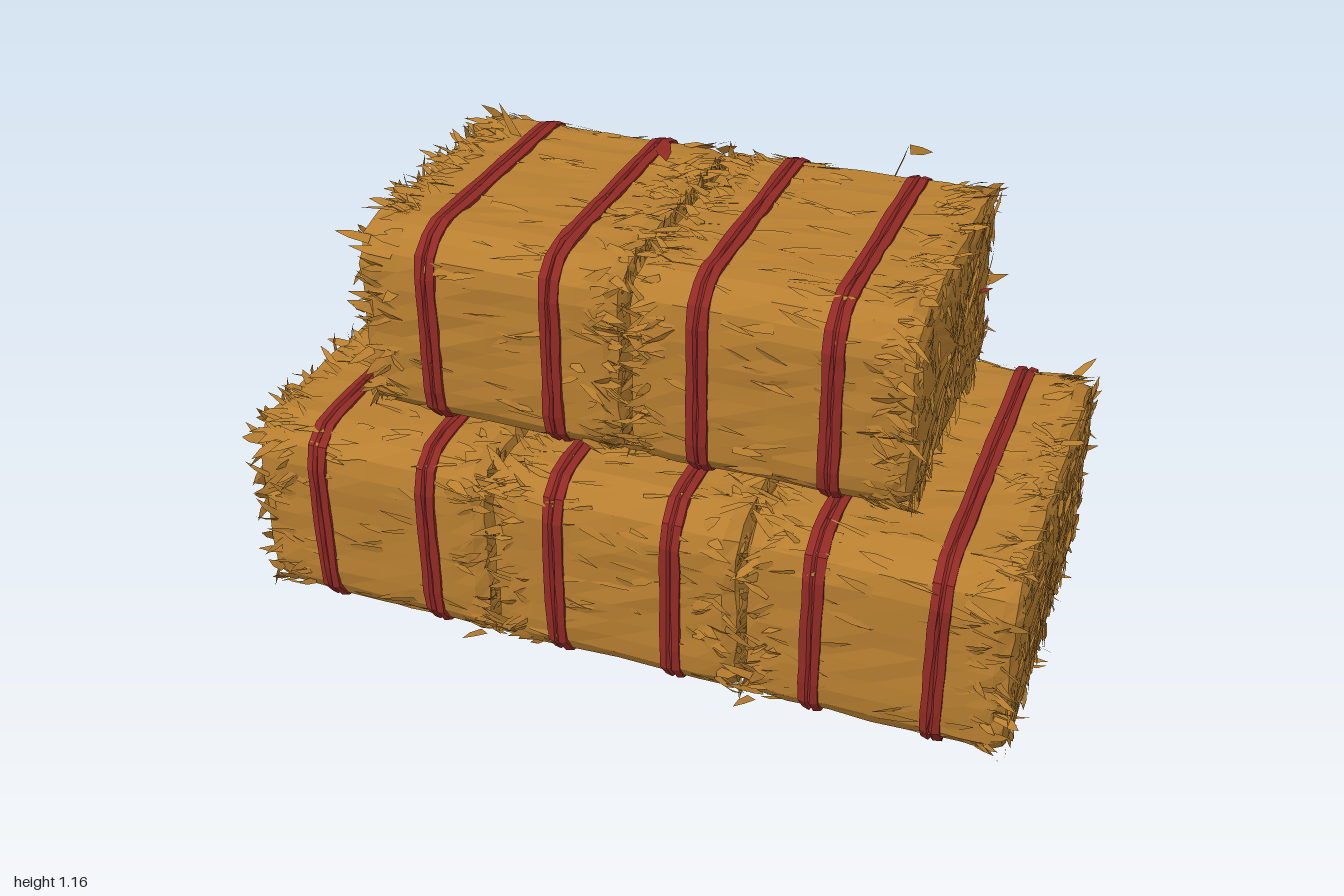
import * as THREE from 'three';

const hay = new THREE.MeshStandardMaterial({ color: 0xb87f30, flatShading: true, side: THREE.DoubleSide });
hay.name = 'hay';
const red = new THREE.MeshStandardMaterial({ color: 0x932a25, flatShading: true, side: THREE.DoubleSide });
red.name = 'redStrap';

// small seeded random numbers
let seed = 7;
const rnd = () => {
  seed = (seed * 1664525 + 1013904223) >>> 0;
  return seed / 4294967296;
};
const range = (a, b) => a + (b - a) * rnd();
const sign = () => (rnd() < 0.5 ? -1 : 1);
const V = (x, y, z) => new THREE.Vector3(x, y, z);

// rounded-rectangle outline of a bale, in (z, y)
function outline(hz, hy, r) {
  const p = new THREE.Path(), a = hz - r, b = hy - r, q = Math.PI / 2;
  [[a, b], [-a, b], [-a, -b], [a, -b]].forEach(([z, y], i) => p.absarc(z, y, r, i * q, (i + 1) * q, false));
  p.closePath();
  return p;
}

// point and outward normal at fraction u of the outline
function onOutline(path, u) {
  const p = path.getPoint(u), t = path.getTangent(u);
  return { z: p.x, y: p.y, nz: t.y, ny: -t.x };
}

// skin over stations [x, inset, scale] of one outline
function loft(path, stations, n, jitter, jitterX = jitter) {
  const ring = Array.from({ length: n }, (_, j) => onOutline(path, j / n));
  const pos = [], idx = [];
  for (const [x, inset, s = 1] of stations) {
    for (const p of ring) {
      const d = range(-jitter, jitter) - inset;
      pos.push(x + (s > 0 ? range(-jitterX, jitterX) : 0), p.y * s + (s > 0 ? p.ny * d : 0), p.z * s + (s > 0 ? p.nz * d : 0));
    }
  }
  for (let i = 0; i < stations.length - 1; i++) {
    for (let j = 0; j < n; j++) {
      const k = (j + 1) % n, a = i * n + j, b = a + n, c = (i + 1) * n + k, d = i * n + k;
      idx.push(a, b, c, a, c, d);
    }
  }
  const g = new THREE.BufferGeometry();
  g.setAttribute('position', new THREE.Float32BufferAttribute(pos, 3));
  g.setIndex(idx);
  g.computeVertexNormals();
  return g;
}

// one bent, pointed straw
function blade(out, base, dir, normal, len, w, lift, tilt = 0) {
  dir.normalize();
  const side = dir.clone().cross(normal).normalize().applyAxisAngle(dir, tilt).multiplyScalar(w / 2);
  const mid = base.clone().addScaledVector(dir, len * 0.55).addScaledVector(normal, lift * 0.75);
  const tip = base.clone().addScaledVector(dir, len).addScaledVector(normal, lift);
  const a = base.clone().sub(side), b = base.clone().add(side);
  const c = mid.clone().addScaledVector(side, 0.8), d = mid.clone().addScaledVector(side, -0.8);
  for (const p of [a, b, c, a, c, d, d, c, tip]) out.push(p.x, p.y, p.z);
}

function bladeMesh(out, name, material) {
  const g = new THREE.BufferGeometry();
  g.setAttribute('position', new THREE.Float32BufferAttribute(out, 3));
  g.computeVertexNormals();
  const m = new THREE.Mesh(g, material);
  m.name = name;
  return m;
}

// straw lying over the sides, round the end rims and on the end faces
function strawFor(path, h, hy, hz) {
  const out = [];
  const at = (x, u, inset) => {
    const p = onOutline(path, u), n = V(0, p.ny, p.nz);
    return { base: V(x, p.y, p.z).addScaledVector(n, -inset), n, t: V(0, p.nz, -p.ny) };
  };
  for (let i = 0; i < 170; i++) {
    const { base, n, t } = at(range(-h + 0.08, h - 0.08), rnd(), 0.002);
    if (n.y < -0.6) continue;
    const dir = V(sign(), 0, 0).addScaledVector(t, range(-0.4, 0.4));
    blade(out, base, dir, n, range(0.05, 0.13), range(0.01, 0.028), range(0.003, 0.009), range(-0.5, 0.5));
  }
  for (const e of [-1, 1]) {
    for (let i = 0; i < 190; i++) {
      const { base, n, t } = at(e * (h - range(0.03, 0.13)), rnd(), 0.004);
      if (n.y < -0.8 && i % 3) continue;
      const dir = V(e, 0, 0).addScaledVector(t, range(-1, 1));
      blade(out, base, dir, n, range(0.04, 0.09), range(0.012, 0.03), range(0.004, 0.02), range(-0.7, 0.7));
    }
    // rim straw folded over the end
    for (let i = 0; i < 100; i++) {
      const { base, n, t } = at(e * (h - 0.008), rnd(), 0.035);
      const dir = n.clone().multiplyScalar(rnd() < 0.5 ? -1 : 0.5).addScaledVector(t, range(-0.5, 0.5));
      blade(out, base, dir, V(e, 0, 0), range(0.03, 0.075), range(0.012, 0.026), range(0.005, 0.012), range(-0.8, 0.8));
    }
    for (let i = 0; i < 120; i++) {
      const base = V(e * (h - 0.002), range(-hy, hy) * 0.82, range(-hz, hz) * 0.88);
      const dir = V(0, sign(), range(-0.45, 0.45));
      blade(out, base, dir, V(e, 0, 0), range(0.03, 0.085), range(0.006, 0.018), range(0.003, 0.012), range(-1.2, 1.2));
    }
  }
  return out;
}

function makeBale(name, x, y, h, hy, hz, straps) {
  const bale = new THREE.Group();
  bale.name = name;
  bale.position.set(x, y, 0);
  const path = outline(hz, hy, 0.1);

  // body: closed ends, rounded rims and a slightly uneven skin
  const half = [[h, 0, 0], [h, 0, 0.3], [h, 0, 0.6], [h - 0.002, 0.045], [h - 0.014, 0.014], [h - 0.045, 0.002]];
  const middle = [-0.66, -0.33, 0, 0.33, 0.66].map((f) => [f * h, 0]);
  const stations = [...half.map(([a, b, c]) => [-a, b, c]), ...middle, ...half.slice().reverse()];
  const body = new THREE.Mesh(loft(path, stations, 56, 0.004), hay);
  body.name = 'baleBody';
  bale.add(body);

  const straw = strawFor(path, h, hy, hz);
  for (let i = 0; i < straw.length; i += 3) {
    straw[i] = THREE.MathUtils.clamp(straw[i], -1 - x, 1 - x);
    straw[i + 1] = Math.max(straw[i + 1], -hy - 0.01);
  }
  bale.add(bladeMesh(straw, 'looseStraw', hay));

  // two twisted strands make each strap
  for (const sx of straps) {
    const c = sx - x, w = 0.025;
    const profile = [[-w, 0.01], [-w, -0.007], [-0.006, -0.011], [0, -0.004], [0.006, -0.011], [w, -0.007], [w, 0.01]];
    const strap = new THREE.Mesh(loft(path, profile.map(([a, b]) => [c + a, b]), 48, 0.001, 0.002), red);
    strap.name = 'strap';
    bale.add(strap);
  }
  return bale;
}

export function createModel() {
  const model = new THREE.Group();
  model.name = 'hayBaleStack';

  // three bales below, two on top
  [[-0.648, -0.79, -0.49], [0, -0.15, 0.15], [0.65, 0.5, 0.795]].forEach(([x, ...s], i) =>
    model.add(makeBale('lowerBale' + (i + 1), x, 0.275, 0.325, 0.264, 0.5, s)));
  [[-0.344, -0.495, -0.18], [0.344, 0.18, 0.495]].forEach(([x, ...s], i) =>
    model.add(makeBale('upperBale' + (i + 1), x, 0.826, 0.342, 0.256, 0.4, s)));

  // long stray straws: base, direction, length, lift normal
  const stray = [];
  [
    [V(0.43, 1.07, -0.34), V(0.25, 1, -0.2), 0.09, V(0.7, 0, 0)],
    [V(0.46, 1.14, -0.36), V(1, 0.1, 0), 0.06, V(0, 0, 1)],
    [V(-0.54, 1.07, -0.22), V(-0.7, 1, -0.35), 0.11, V(0, 0, 1)],
    [V(-0.67, 0.92, -0.3), V(-0.4, -0.5, 0), 0.08, V(0, 0, 1)],
    [V(0.66, 0.62, -0.34), V(0.1, 0.1, -1), 0.08, V(0, 1, 0)],
    [V(-0.3, 0.54, -0.47), V(-0.5, 0.1, -1), 0.08, V(0, 1, 0)],
    [V(0.92, 0.53, -0.46), V(0.6, 0.2, -1), 0.08, V(0, 1, 0)],
    [V(-0.92, 0.53, -0.47), V(-0.6, 0.2, -1), 0.07, V(0, 1, 0)],
    [V(0.35, 0.02, 0.47), V(-0.4, 0.1, 1), 0.07, V(0, 1, 0)],
    [V(-0.37, 0.02, 0.47), V(-0.5, 0.1, 1), 0.07, V(0, 1, 0)],
    [V(0.93, 0.02, -0.47), V(0.3, 0.1, -1), 0.08, V(0, 1, 0)],
  ].forEach(([p, d, l, n]) => blade(stray, p, d, n, l, 0.026, 0.01));
  model.add(bladeMesh(stray, 'strayStraw', hay));

  // loose strap ends
  const tails = [];
  blade(tails, V(-0.17, 1.09, -0.29), V(0.5, 0, 1), V(0, 1, 0), 0.13, 0.045, 0.006);
  blade(tails, V(0.68, 0.85, -0.23), V(0.6, 0, -0.8), V(0, 1, 0), 0.055, 0.02, -0.006);
  model.add(bladeMesh(tails, 'strapTails', red));
  return model;
}
